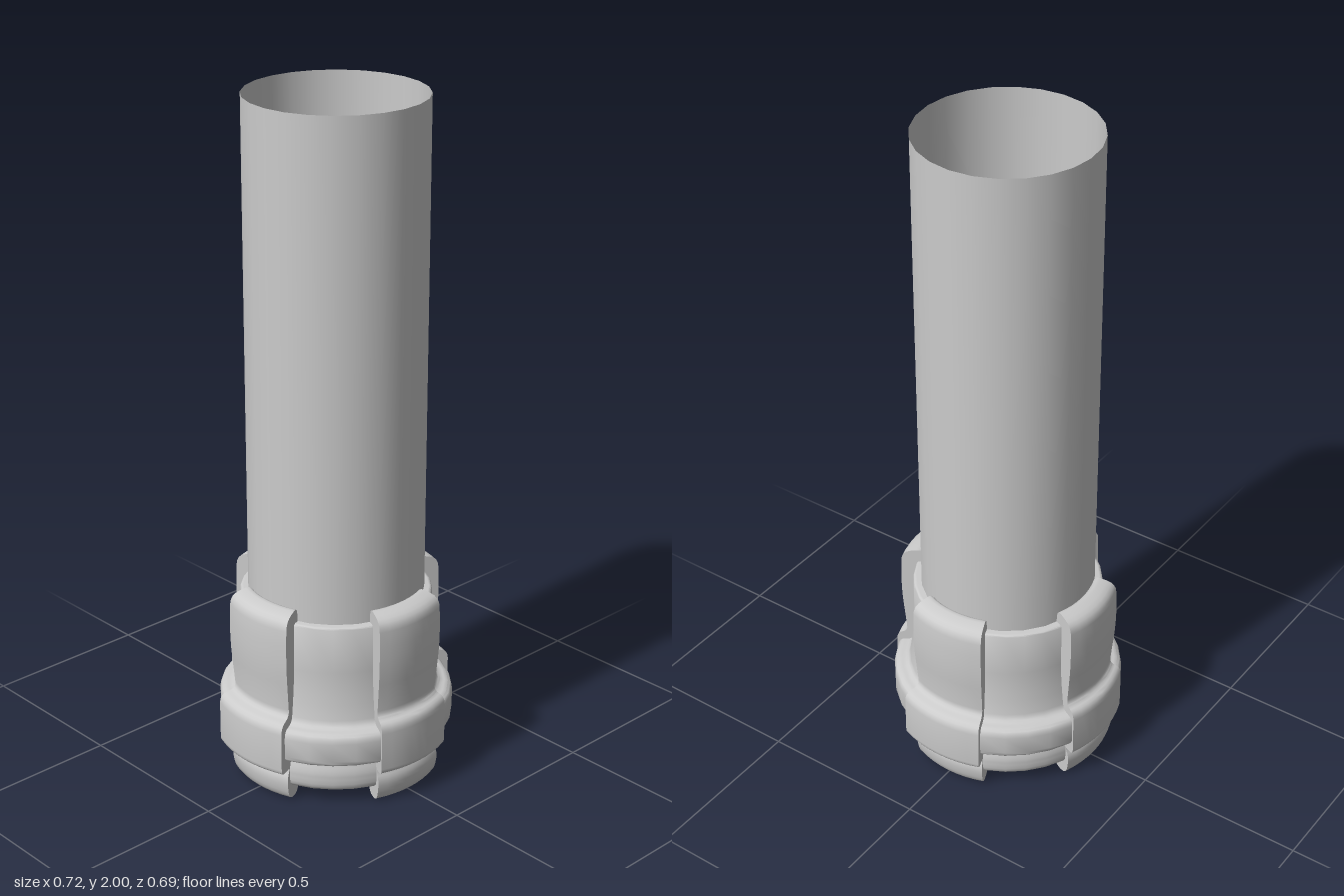
import * as THREE from 'three';
import { mergeGeometries, toCreasedNormals } from 'three/addons/utils/BufferGeometryUtils.js';

const material = new THREE.MeshStandardMaterial({ color: 0xcccccc });
const openMaterial = new THREE.MeshStandardMaterial({ color: 0xcccccc, side: THREE.DoubleSide });
const HALF_ANGLE = 0.375;

// Rounds each corner of a profile [radius, height, rounding]
function roundProfile(corners, closed) {
  const out = [];
  const n = corners.length;
  corners.forEach(([x, y, round = 0], i) => {
    const p = new THREE.Vector2(x, y);
    if (!round || (!closed && (i === 0 || i === n - 1))) {
      out.push(p);
      return;
    }
    const toward = (c) => {
      const d = new THREE.Vector2(c[0], c[1]).sub(p);
      return p.clone().add(d.setLength(Math.min(round, d.length() * 0.48)));
    };
    const a = toward(corners[(i + n - 1) % n]);
    const b = toward(corners[(i + 1) % n]);
    out.push(...new THREE.QuadraticBezierCurve(a, p, b).getPoints(4));
  });
  return out;
}

// Sweeps a closed profile through an arc about the y axis and caps both ends
function arcSolid(points, halfAngle) {
  const wall = new THREE.LatheGeometry([...points, points[0].clone()], 8, -halfAngle, halfAngle * 2);
  const caps = [-1, 1].map((side) => {
    const cap = new THREE.ShapeGeometry(new THREE.Shape(points));
    if (side > 0) cap.index.array.reverse();
    return cap.rotateY(side * halfAngle - Math.PI / 2);
  });
  return toCreasedNormals(mergeGeometries([wall, ...caps]), 0.7);
}

// One clamp: foot, bulge over the band, and upright pad
function clampGeometry(bulge) {
  return arcSolid(roundProfile([
    [0.262, 0.0, 0.02],
    [0.314, 0.0, 0.03],
    [0.328, 0.07, 0.03],
    [0.31, 0.105, 0.01],
    [bulge, 0.105, 0.018],
    [bulge, 0.262, 0.025],
    [0.312, 0.275, 0.02],
    [0.328, 0.44, 0.06],
    [0.324, 0.578, 0.03],
    [0.258, 0.596, 0.02],
    [0.25, 0.53],
    [0.25, 0.06, 0.02],
  ], true), HALF_ANGLE);
}

export function createModel() {
  const group = new THREE.Group();
  const add = (name, geometry, mat = material) => {
    const mesh = new THREE.Mesh(geometry, mat);
    mesh.name = name;
    group.add(mesh);
    return mesh;
  };

  // Thin hollow tube, open at the top
  const tube = add('tube', new THREE.CylinderGeometry(0.255, 0.255, 1.46, 24, 1, true), openMaterial);
  tube.position.y = 1.27;

  // Closed sleeve with a lower lip and a raised band
  const sleeve = roundProfile([
    [0, 0.035],
    [0.27, 0.035, 0.01],
    [0.308, 0.045, 0.02],
    [0.312, 0.1, 0.02],
    [0.3, 0.138, 0.01],
    [0.342, 0.14, 0.02],
    [0.342, 0.24, 0.025],
    [0.296, 0.245, 0.02],
    [0.28, 0.36, 0.05],
    [0.278, 0.55, 0.01],
    [0, 0.55],
  ], false);
  add('sleeve', toCreasedNormals(new THREE.LatheGeometry(sleeve, 32), 0.7));

  // Four clamps, the side pair standing out a little further
  const frontGeometry = clampGeometry(0.347);
  const sideGeometry = clampGeometry(0.362);
  ['frontClamp', 'leftClamp', 'backClamp', 'rightClamp'].forEach((name, i) => {
    add(name, i % 2 ? sideGeometry : frontGeometry).rotation.y = (i * Math.PI) / 2;
  });

  return group;
}
